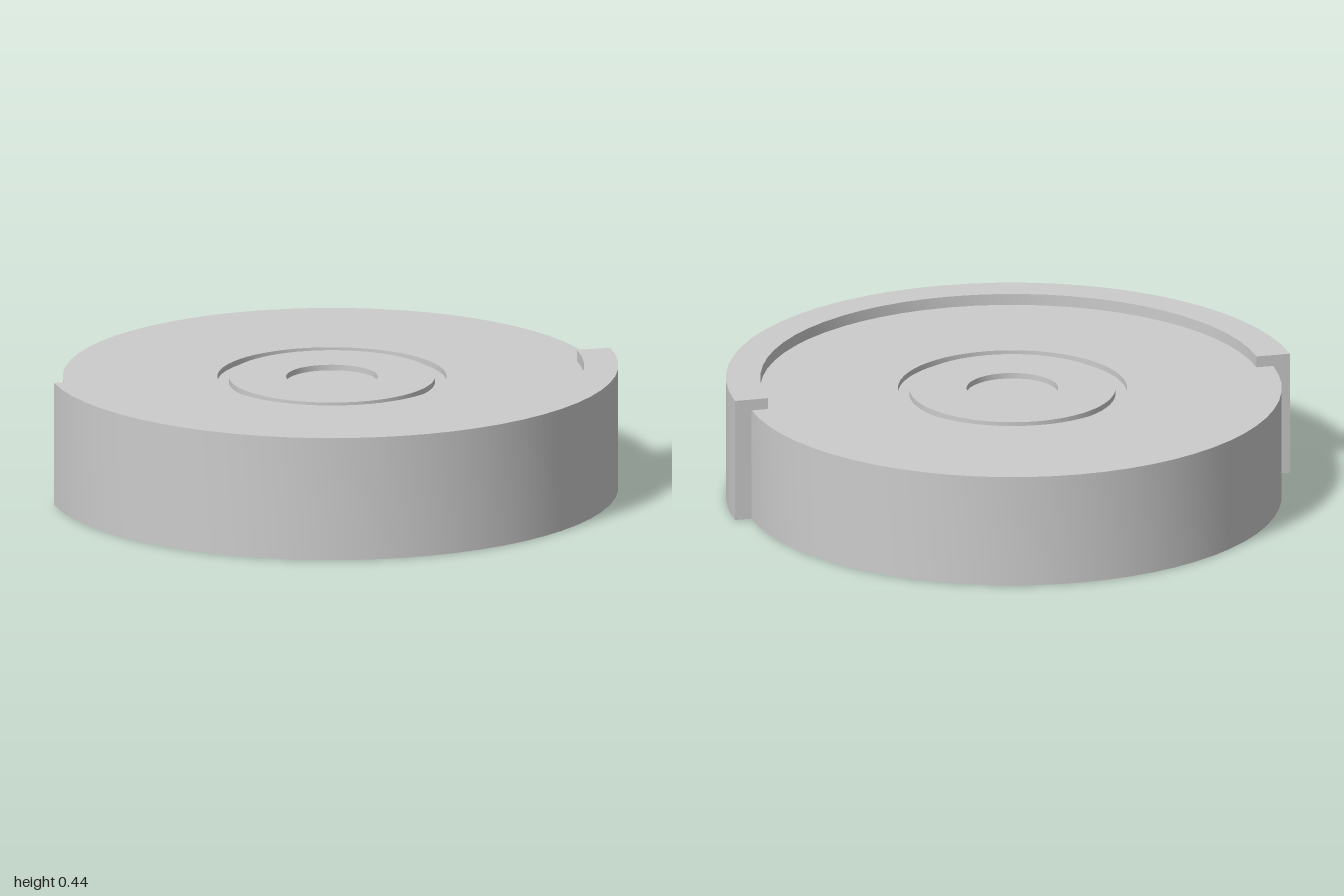
import * as THREE from 'three';
import { toCreasedNormals } from 'three/addons/utils/BufferGeometryUtils.js';

export function createModel() {
  const group = new THREE.Group();
  const material = new THREE.MeshStandardMaterial({ color: 0xcccccc });
  const capMaterial = new THREE.MeshStandardMaterial({ color: 0xcccccc, side: THREE.DoubleSide });

  const axisZ = -0.03; // the round axis sits slightly behind the centre
  const top = 0.4, rimTop = 0.44, recess = 0.38;
  const points = (list) => list.map(([x, y]) => new THREE.Vector2(x, y));

  const add = (name, geometry, mat = material) => {
    const mesh = new THREE.Mesh(geometry, mat);
    mesh.name = name;
    mesh.position.z = axisZ;
    group.add(mesh);
    return mesh;
  };
  const turned = (profile, segments, start, sweep) =>
    toCreasedNormals(new THREE.LatheGeometry(points(profile), segments, start, sweep), 0.6);

  // Solid disc with a ring groove and a shallow centre recess
  add('discBody', turned([
    [0, 0], [0.94, 0], [0.94, top],
    [0.4, top], [0.4, recess], [0.36, recess], [0.36, top],
    [0.16, top], [0.16, recess], [0, recess],
  ], 64, 0, Math.PI * 2));

  // Half ring around the front, with a lip above the disc
  const rim = [[0.94, 0], [1, 0], [1, rimTop], [0.88, rimTop], [0.88, top], [0.94, top]];
  add('frontRim', turned([...rim.slice(0, 5), [0.94, top]], 32, -Math.PI / 2, Math.PI));

  // Flat ends of the half ring
  for (const [name, side] of [['leftRimEnd', 1], ['rightRimEnd', -1]]) {
    const outline = points(rim.map(([x, y]) => [x * side, y]));
    add(name, new THREE.ShapeGeometry(new THREE.Shape(outline)), capMaterial);
  }
  return group;
}
